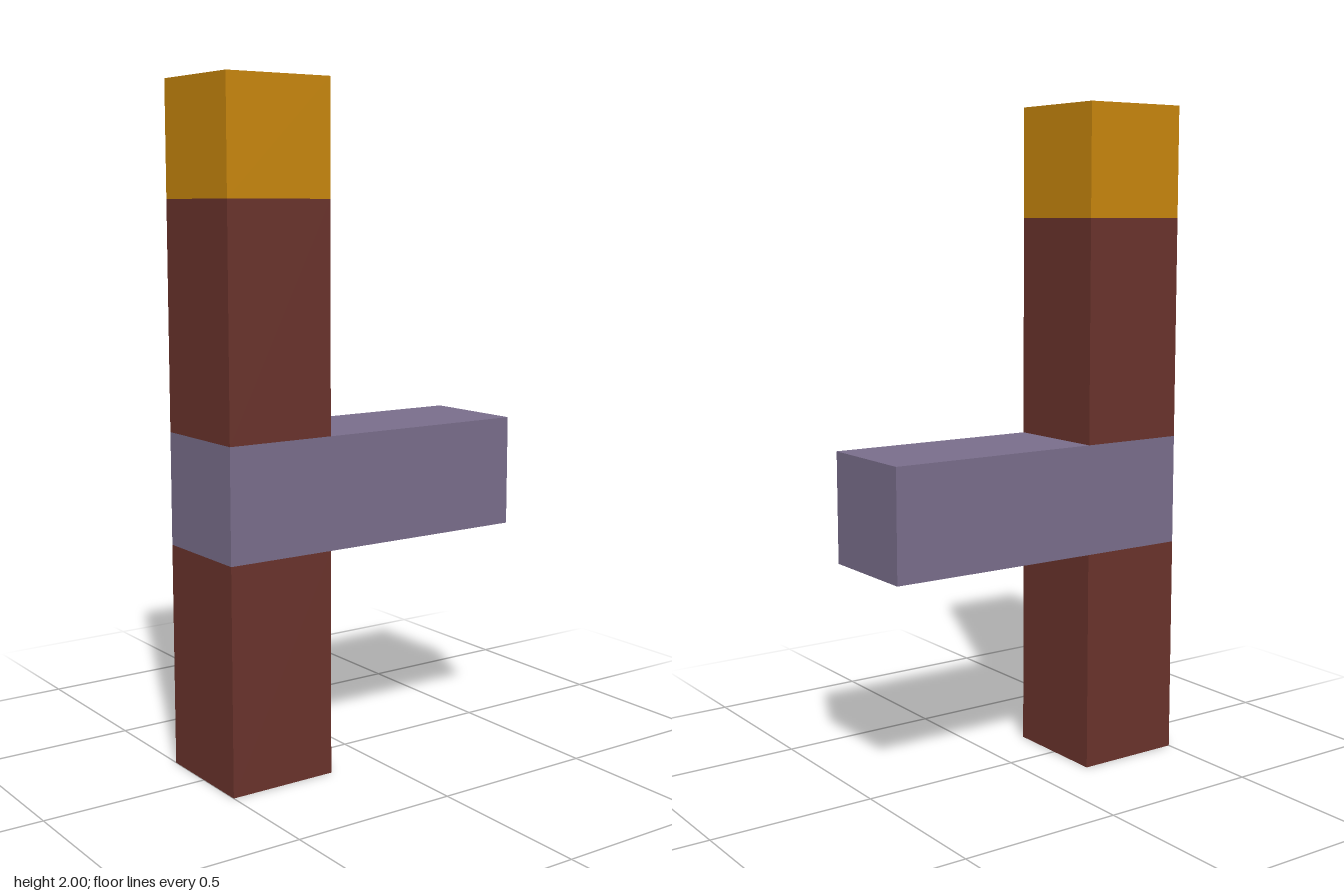
import * as THREE from 'three';

const UNIT = 1 / 3; // width of the square post

export function createModel() {
  const model = new THREE.Group();
  model.name = 'torchPost';

  const material = (name, color) => {
    const m = new THREE.MeshStandardMaterial({ color });
    m.name = name;
    return m;
  };
  const wood = material('brown wood', 0x6a332c);
  const metal = material('purple grey bracket', 0x7a6e8c);
  const flame = material('amber tip', 0xc8860d);

  // Block spanning yMin..yMax and zMin..zMax, measured in post widths
  const addBlock = (name, mat, yMin, yMax, zMin, zMax) => {
    const geometry = new THREE.BoxGeometry(UNIT, (yMax - yMin) * UNIT, (zMax - zMin) * UNIT);
    const mesh = new THREE.Mesh(geometry, mat);
    mesh.name = name;
    mesh.position.set(0, (yMin + yMax) / 2 * UNIT, (zMin + zMax) / 2 * UNIT);
    model.add(mesh);
  };

  // Post at the front, interrupted by the bracket
  addBlock('lowerPost', wood, 0, 2, 0.5, 1.5);
  addBlock('upperPost', wood, 3, 5, 0.5, 1.5);
  addBlock('tip', flame, 5, 6, 0.5, 1.5);

  // Bracket wraps the post and reaches to the back
  addBlock('bracket', metal, 2, 3, -1.5, 1.5);

  return model;
}
